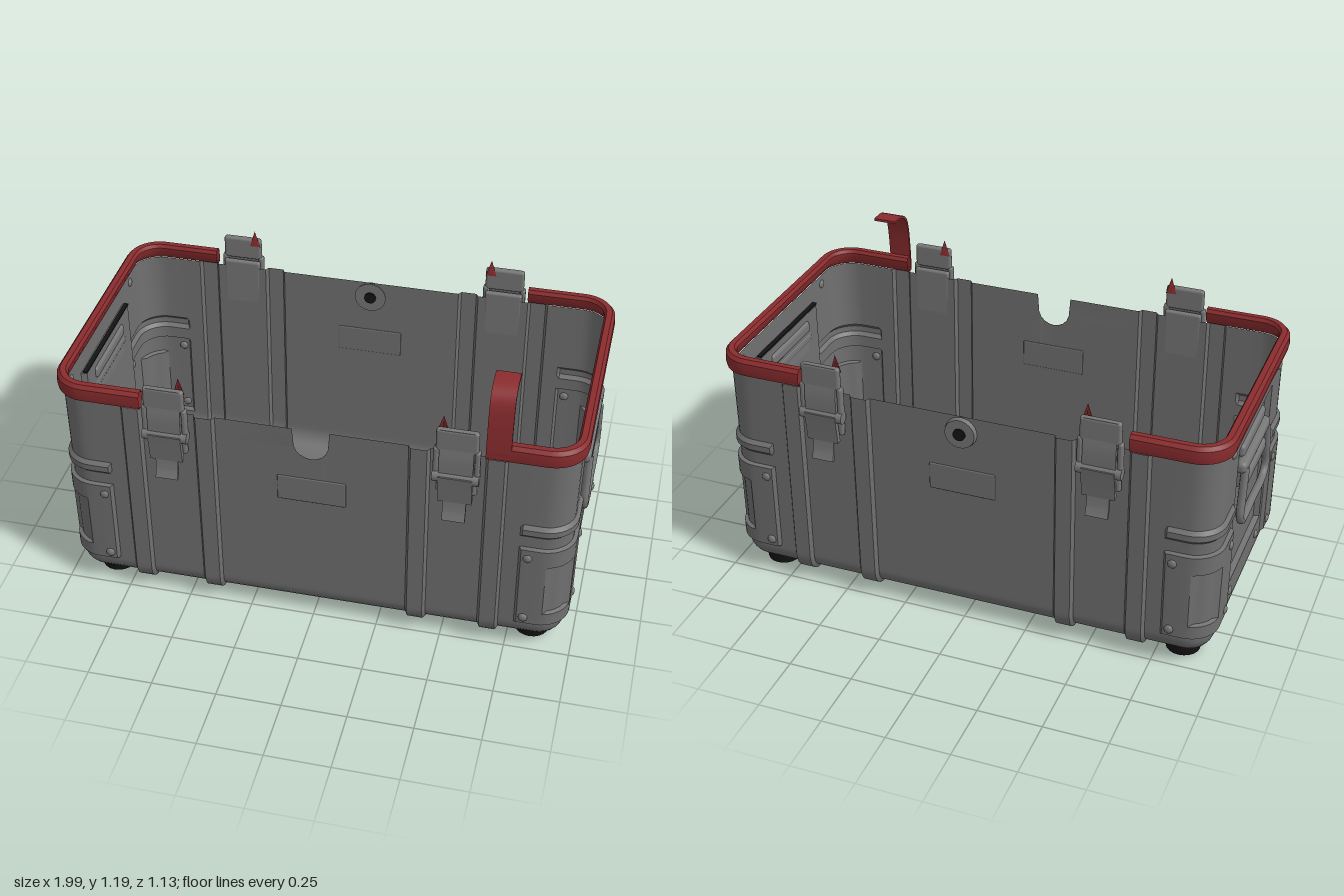
import * as THREE from 'three';
import { toCreasedNormals } from 'three/addons/utils/BufferGeometryUtils.js';
import { RoundedBoxGeometry } from 'three/addons/geometries/RoundedBoxGeometry.js';

const A = 0.973, B = 0.505, R = 0.11, TOP = 0.905;

// One quarter of the crate outline, from the middle of the front to the middle of the end
function quarterOutline() {
  const q = [0, 0.02, 0.04, 0.055, 0.064, 0.07, 0.36, 0.37, 0.43, 0.44, 0.64, 0.65, 0.71, 0.72, 0.78, 0.79]
    .map(x => ({ x, z: B, nx: 0, nz: 1 }));
  for (let i = 0; i <= 8; i++) {
    const a = i / 8 * Math.PI / 2, s = Math.sin(a), c = Math.cos(a);
    q.push({ x: A - R + R * s, z: B - R + R * c, nx: s, nz: c });
  }
  for (const z of [0.29, 0.28, 0.25, 0.242, 0]) q.push({ x: A, z, nx: 1, nz: 0 });
  return q;
}
const quarter = quarterOutline(), N = quarter.length - 1;
const mirror = (p, sx, sz) => ({ x: p.x * sx, z: p.z * sz, nx: p.nx * sx, nz: p.nz * sz });
const outline = [];
for (let i = 0; i < 4 * N; i++) {
  const side = Math.floor(i / N), k = i % N;
  outline.push(mirror(quarter[side % 2 ? N - k : k], side < 2 ? 1 : -1, side === 0 || side === 3 ? 1 : -1));
}
const at = k => ((k % (4 * N)) + 4 * N) % (4 * N);

// Pressed relief of the shell: bands, corner guards, ridges and end panels
function relief(p, y) {
  const x = Math.abs(p.x), z = Math.abs(p.z);
  if ((x >= 0.369 && x <= 0.431) || (x >= 0.649 && x <= 0.711)) return 0.016;
  if (x > 0.785 && z > 0.285) {
    if (y >= 0.57 && y <= 0.601) return 0.014;
    const window = x > 0.895 && z > 0.42 && y >= 0.2 && y <= 0.425;
    if (y >= 0.14 && y <= 0.505 && !window) return 0.015;
  }
  if (x > 0.97 && z < 0.245 && y >= 0.225 && y <= 0.82) return -0.022;
  return 0;
}

// Surface through rows of [x, y, z] points; extra holds additional index quads
function sheet(rows, closed, extra = []) {
  const w = rows[0].length, index = [];
  for (let j = 0; j < rows.length - 1; j++) {
    for (let i = 0; i < (closed ? w : w - 1); i++) {
      const a = j * w + i, b = j * w + (i + 1) % w;
      index.push(a, a + w, b, b, a + w, b + w);
    }
  }
  const g = new THREE.BufferGeometry();
  g.setAttribute('position', new THREE.Float32BufferAttribute(rows.flat(2), 3));
  g.setIndex(index.concat(extra));
  return toCreasedNormals(g, 0.6);
}

function shellGeometry() {
  const notch = p => (p.z > 0 && Math.abs(p.x) < 0.066)
    ? 0.84 - Math.sqrt(Math.max(0, 0.065 ** 2 - p.x * p.x)) : TOP;
  const levels = [TOP, 0.825, 0.82, 0.615, 0.6, 0.575, 0.56, 0.51, 0.505, 0.43, 0.425,
    0.225, 0.22, 0.2, 0.195, 0.14, 0.13].map(y => [y, 0]);
  for (let i = 0; i <= 6; i++) levels.push([0.125, i / 6 * Math.PI / 2]);
  const rows = levels.map(([y, a]) => outline.map(p => {
    const d = relief(p, y), c = Math.cos(a), s = Math.sin(a);
    const off = d * c - 0.08 * (1 - c) - 0.012 * (TOP - y);
    return [p.x + p.nx * off, Math.min(y - (0.08 + d) * s, notch(p)), p.z + p.nz * off];
  }));
  // floor strips join front and back points
  const base = (levels.length - 1) * 4 * N, floor = [];
  for (let k = -N; k < N; k++) {
    const [a, b, c, d] = [k, k + 1, 2 * N - k, 2 * N - k - 1].map(i => base + at(i));
    floor.push(a, c, b, b, c, d);
  }
  return sheet(rows, true, floor);
}

// Rim around one end of the crate, starting at the outer bands
function rimGeometry() {
  const first = quarter.findIndex(p => p.x >= 0.64), pts = outline.slice(first, 2 * N - first + 1);
  const profile = [[0.003, 0.905], [0.018, 0.908], [0.022, 0.93], [0.02, 0.96], [0.008, 0.974],
    [-0.014, 0.974], [-0.022, 0.96], [-0.018, 0.93], [0.003, 0.905]];
  return sheet(profile.map(([o, y]) => pts.map(p => [p.x + p.nx * o, y, p.z + p.nz * o])), false);
}

// Side profile of [z, y] points given a thickness and a width along x
function ribbon(points, thick, width) {
  const c = new THREE.SplineCurve(points.map(p => new THREE.Vector2(...p)));
  const outer = [], inner = [];
  for (let i = 0; i <= 14; i++) {
    const p = c.getPoint(i / 14), t = c.getTangent(i / 14);
    outer.push(new THREE.Vector2(p.x + t.y * thick / 2, p.y - t.x * thick / 2));
    inner.unshift(new THREE.Vector2(p.x - t.y * thick / 2, p.y + t.x * thick / 2));
  }
  const g = new THREE.ExtrudeGeometry(new THREE.Shape([...outer, ...inner]), { depth: width, bevelEnabled: false });
  g.translate(0, 0, -width / 2).rotateY(-Math.PI / 2);
  return toCreasedNormals(g, 0.6);
}

export function createModel() {
  const mat = (name, color, side = THREE.FrontSide) => {
    const m = new THREE.MeshStandardMaterial({ color, side });
    m.name = name;
    return m;
  };
  const grey = mat('grey metal', 0x707070, THREE.DoubleSide);
  const steel = mat('hardware grey', 0x767676);
  const red = mat('red rim', 0x8a2c2e, THREE.DoubleSide);
  const black = mat('black rubber', 0x141414);
  const model = new THREE.Group();
  model.name = 'crate';
  const add = (parent, name, geo, material, x = 0, y = 0, z = 0) => {
    const m = new THREE.Mesh(geo, material);
    m.name = name;
    m.position.set(x, y, z);
    parent.add(m);
    return m;
  };

  add(model, 'shell', shellGeometry(), grey);
  const rim = rimGeometry();
  add(model, 'rimLeft', rim, red);
  add(model, 'rimRight', rim, red).rotation.y = Math.PI;
  add(model, 'sealStrip', ribbon([[0.522, 0.92], [0.518, 1.0], [0.506, 1.1], [0.485, 1.155],
    [0.44, 1.182], [0.375, 1.185]], 0.01, 0.09), red, 0.685);

  // Feet
  for (const x of [-0.84, 0.84]) for (const z of [-0.37, 0.365]) {
    add(model, 'foot', new THREE.CylinderGeometry(0.074, 0.066, 0.054, 20), black, x, 0.027, z);
  }

  // Latches, two on the front and two on the back
  const knuckle = (r, w) => new THREE.CylinderGeometry(r, r, w, 14).rotateZ(Math.PI / 2);
  const shard = new THREE.ConeGeometry(0.025, 0.07, 3).scale(1, 1, 0.15);
  for (const turn of [0, Math.PI]) for (const x of [-0.54, 0.54]) {
    const latch = new THREE.Group();
    latch.name = 'latch';
    add(latch, 'latchPlate', new RoundedBoxGeometry(0.15, 0.2, 0.024, 2, 0.01), steel, 0, 0.83, 0.515);
    add(latch, 'latchStrap', ribbon([[0.545, 0.82], [0.545, 0.9], [0.537, 0.97], [0.538, 1.025]], 0.016, 0.125), steel);
    add(latch, 'latchLip', new RoundedBoxGeometry(0.155, 0.095, 0.026, 2, 0.011), steel, 0, 0.98, 0.535);
    add(latch, 'latchPivot', knuckle(0.024, 0.17), steel, 0, 0.82, 0.54);
    add(latch, 'latchLever', ribbon([[0.557, 0.83], [0.548, 0.77], [0.54, 0.71]], 0.02, 0.125), steel);
    add(latch, 'latchTip', ribbon([[0.54, 0.73], [0.546, 0.67], [0.558, 0.63]], 0.013, 0.085), steel);
    for (const s of [-1, 1]) add(latch, 'latchArm', new RoundedBoxGeometry(0.02, 0.13, 0.03, 2, 0.008), steel, s * 0.075, 0.88, 0.535);
    add(latch, 'sealShard', shard, red, Math.sign(x) * (turn ? 1 : -1) * 0.055, 1.035, 0.52);
    latch.rotation.y = turn;
    latch.position.x = x;
    model.add(latch);
  }

  // Lock boss on the back
  add(model, 'lockBoss', new THREE.CylinderGeometry(0.058, 0.064, 0.024, 24).rotateX(-Math.PI / 2), steel, 0, 0.838, -0.51);
  add(model, 'lockHole', new THREE.CylinderGeometry(0.024, 0.024, 0.038, 16).rotateX(Math.PI / 2), black, 0, 0.838, -0.51);

  // Front and back details
  const boltGeo = new THREE.SphereGeometry(0.018, 12, 8).scale(1, 1, 0.6);
  for (const s of [1, -1]) {
    add(model, 'labelPlate', new RoundedBoxGeometry(0.26, 0.11, 0.009, 2, 0.004), grey, 0, 0.625, s * 0.502);
    for (const x of [-0.815, 0.815]) for (const y of [0.17, 0.465]) add(model, 'guardBolt', boltGeo, steel, x, y, s * 0.513);
  }

  // Carrying handles and end fittings
  const loop = new THREE.CatmullRomCurve3([[-0.165, 0.71], [-0.185, 0.6], [-0.197, 0.51], [-0.165, 0.474], [0, 0.472],
    [0.165, 0.474], [0.197, 0.51], [0.185, 0.6], [0.165, 0.71]].map(([z, y]) => new THREE.Vector3(0.981, y, z)));
  for (const turn of [0, Math.PI]) {
    const end = new THREE.Group();
    end.name = 'endFittings';
    add(end, 'handleBracket', new RoundedBoxGeometry(0.035, 0.052, 0.325, 3, 0.016), steel, 0.956, 0.765, 0);
    add(end, 'handleHinge', new RoundedBoxGeometry(0.045, 0.05, 0.38, 3, 0.02), steel, 0.968, 0.708, 0);
    add(end, 'handlePlate', new RoundedBoxGeometry(0.02, 0.09, 0.33, 2, 0.009), steel, 0.958, 0.655, 0);
    add(end, 'handleGrip', new RoundedBoxGeometry(0.04, 0.055, 0.31, 3, 0.018), steel, 0.968, 0.63, 0);
    add(end, 'handleLoop', new THREE.TubeGeometry(loop, 60, 0.016, 10), steel);
    add(end, 'panelSlot', new THREE.BoxGeometry(0.018, 0.006, 0.49), black, 0.957, 0.827, 0);
    for (const s of [-1, 1]) {
      for (const [z, y, x] of [[0.345, 0.865, 0.974], [0.325, 0.17, 0.978], [0.325, 0.465, 0.982], [0.2, 0.17, 0.964]]) {
        add(end, 'endBolt', boltGeo, steel, x, y, s * z).rotation.y = Math.PI / 2;
      }
    }
    end.rotation.y = turn;
    model.add(end);
  }
  return model;
}
